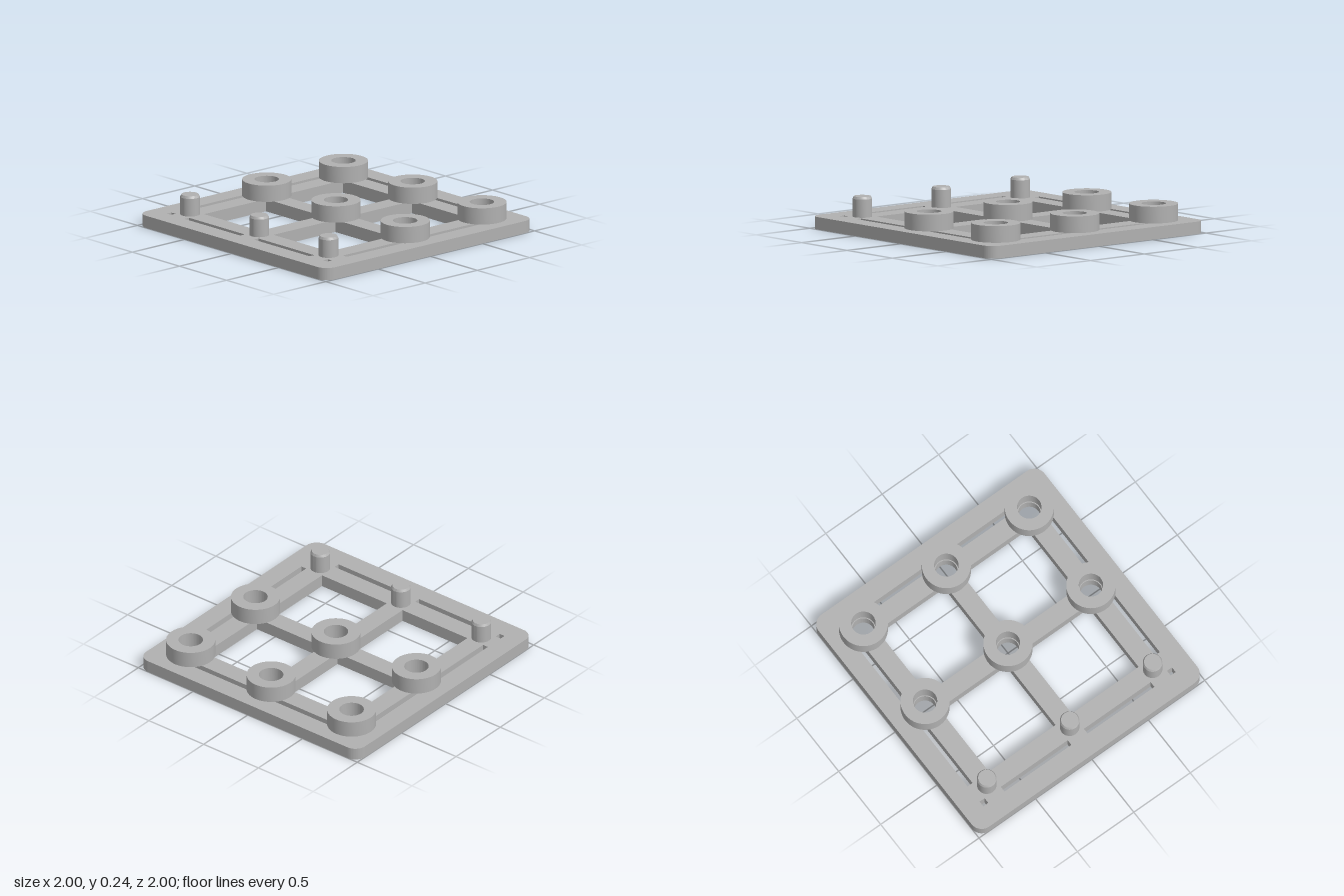
import * as THREE from 'three';
import { toCreasedNormals } from 'three/addons/utils/BufferGeometryUtils.js';

const PITCH = 0.735;
const PLATE_H = 0.09;
const RING_H = 0.12;

// Extrude a flat shape upwards from y = 0, smooth on curves and sharp at edges
function extrudeUp(shape, height) {
  const g = new THREE.ExtrudeGeometry(shape, { depth: height, bevelEnabled: false, curveSegments: 48 });
  g.rotateX(-Math.PI / 2);
  return toCreasedNormals(g, 0.6);
}

function circlePath(x, y, r) {
  return new THREE.Path().absarc(x, y, r, 0, Math.PI * 2, true);
}

function rectPath(x0, x1, y0, y1) {
  return new THREE.Path([
    new THREE.Vector2(x0, y0), new THREE.Vector2(x0, y1),
    new THREE.Vector2(x1, y1), new THREE.Vector2(x1, y0),
  ]);
}

function roundedSquare(h, r) {
  const s = new THREE.Shape();
  s.absarc(h - r, h - r, r, 0, Math.PI / 2);
  s.absarc(r - h, h - r, r, Math.PI / 2, Math.PI);
  s.absarc(r - h, r - h, r, Math.PI, Math.PI * 1.5);
  s.absarc(h - r, r - h, r, Math.PI * 1.5, Math.PI * 2);
  s.closePath();
  return s;
}

export function createModel() {
  const group = new THREE.Group();
  group.name = 'pegPlate';
  const grey = new THREE.MeshStandardMaterial({ color: 0xb0b0b0 });
  grey.name = 'grey';

  const add = (geometry, name, x = 0, y = 0, z = 0) => {
    const mesh = new THREE.Mesh(geometry, grey);
    mesh.name = name;
    mesh.position.set(x, y, z);
    group.add(mesh);
  };

  // Base plate: border and three ribs each way, left by a 4 x 4 set of openings
  const plate = roundedSquare(1, 0.09);
  const gaps = [[-0.852, -0.808], [-0.664, -0.072], [0.072, 0.664], [0.808, 0.852]];
  for (const [x0, x1] of gaps) {
    for (const [y0, y1] of gaps) plate.holes.push(rectPath(x0, x1, y0, y1));
  }
  // Bores under the rings
  for (const x of [0, PITCH]) {
    for (const y of [-PITCH, 0, PITCH]) plate.holes.push(circlePath(x, y, 0.08));
  }
  add(extrudeUp(plate, PLATE_H), 'basePlate');

  // Ring with a slightly wider bore than the plate
  const ring = new THREE.Shape().absarc(0, 0, 0.175, 0, Math.PI * 2, false);
  ring.holes.push(circlePath(0, 0, 0.087));
  const ringGeometry = extrudeUp(ring, RING_H);

  // Solid pin with a chamfered top
  const pinGeometry = toCreasedNormals(new THREE.LatheGeometry([
    new THREE.Vector2(0.07, 0), new THREE.Vector2(0.07, 0.13),
    new THREE.Vector2(0.061, 0.147), new THREE.Vector2(0, 0.147),
  ], 48), 0.4);

  for (const z of [-PITCH, 0, PITCH]) {
    add(pinGeometry, 'pin', -PITCH, PLATE_H, z);
    for (const x of [0, PITCH]) add(ringGeometry, 'ring', x, PLATE_H, z);
  }
  return group;
}
